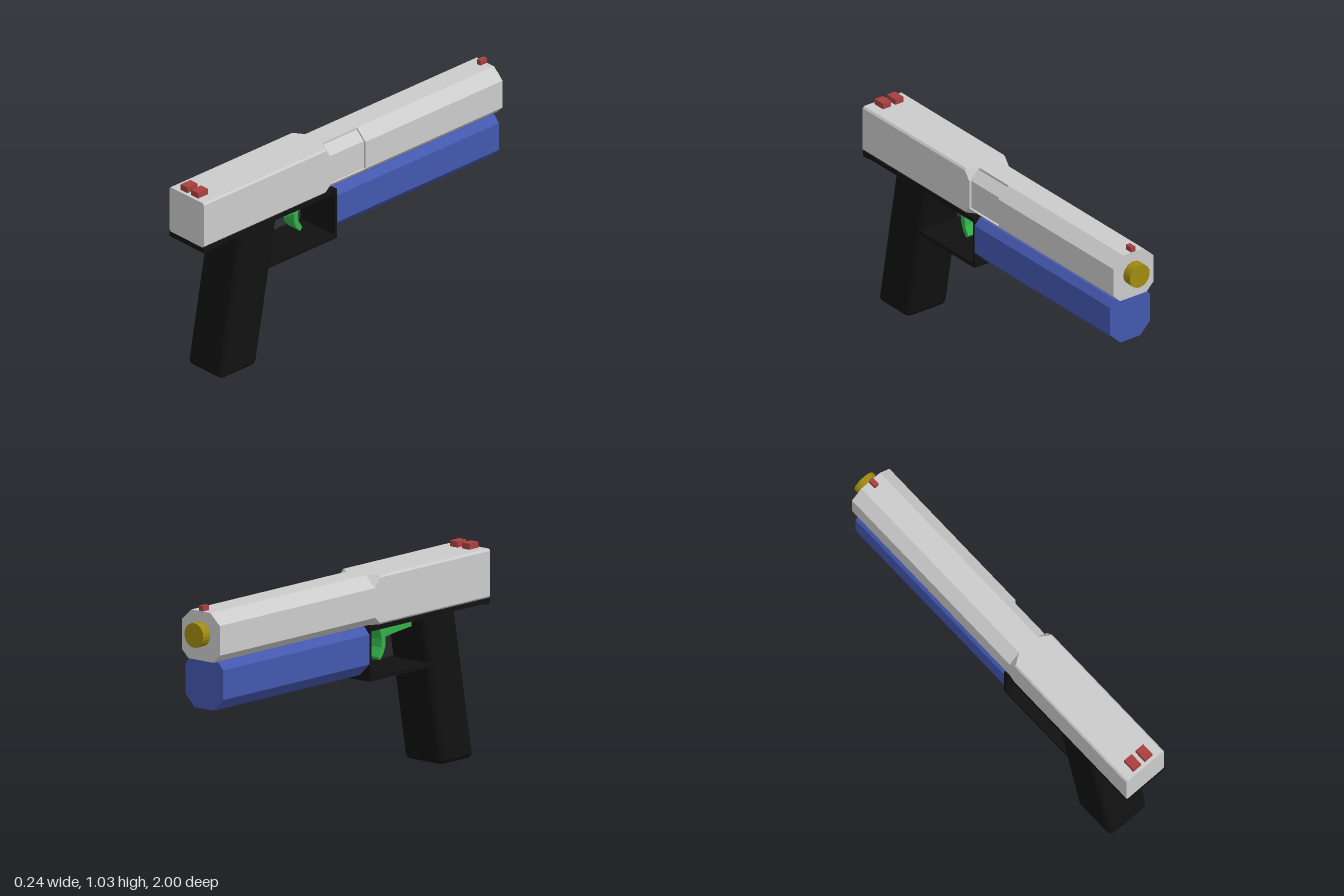
import * as THREE from 'three';
import { RoundedBoxGeometry } from 'three/addons/geometries/RoundedBoxGeometry.js';

const mat = (color, flatShading = true) => new THREE.MeshStandardMaterial({ color, flatShading });
const GREY = mat(0xcccccc), BLACK = mat(0x111111), BLACK_SMOOTH = mat(0x111111, false);
const BLUE = mat(0x4458b0), GREEN = mat(0x33b04a), RED = mat(0xa84040), BRASS = mat(0xa08a10);

// Skins cross-sections given as [z, [[x, y], ...]], counter-clockwise, z ascending
function loft(sections) {
  const n = sections[0][1].length, pos = [], idx = [];
  for (const [z, pts] of sections) for (const [x, y] of pts) pos.push(x, y, z);
  for (let s = 0; s < sections.length - 1; s++) {
    for (let i = 0; i < n; i++) {
      const a = s * n + i, b = s * n + (i + 1) % n;
      idx.push(a, b, b + n, a, b + n, a + n);
    }
  }
  const last = (sections.length - 1) * n;
  for (let i = 1; i < n - 1; i++) {
    idx.push(0, i + 1, i);
    idx.push(last, last + i, last + i + 1);
  }
  const g = new THREE.BufferGeometry();
  g.setAttribute('position', new THREE.Float32BufferAttribute(pos, 3));
  g.setIndex(idx);
  const flat = g.toNonIndexed();
  flat.computeVertexNormals();
  return flat;
}

// Extrudes a side profile of [z, y] points across the width
function sideExtrude(points, width, hole) {
  const toVec = (list) => list.map(([z, y]) => new THREE.Vector2(z, y));
  const shape = new THREE.Shape(toVec(points));
  if (hole) shape.holes.push(new THREE.Path(toVec(hole)));
  const g = new THREE.ExtrudeGeometry(shape, { depth: width, bevelEnabled: false });
  return g.translate(0, 0, -width / 2).rotateY(-Math.PI / 2);
}

export function createModel() {
  const model = new THREE.Group();
  const add = (name, geometry, material, x = 0, y = 0, z = 0) => {
    const m = new THREE.Mesh(geometry, material);
    m.name = name;
    m.position.set(x, y, z);
    model.add(m);
    return m;
  };

  // Slide: square rear, faceted front, shallow port recess on the +x side
  const front = [[-0.08, 0.76], [0.08, 0.76], [0.12, 0.8], [0.12, 0.8], [0.12, 0.945],
    [0.06, 1], [0.06, 1], [-0.06, 1], [-0.12, 0.945], [-0.12, 0.8]];
  const port = front.map((p) => [...p]);
  port[3][0] = port[4][0] = 0.108;
  port[5][1] = 0.988;
  const rear = [[-0.11, 0.76], [0.11, 0.76], [0.12, 0.77], [0.12, 0.77], [0.12, 0.99],
    [0.112, 1], [0.112, 1], [-0.112, 1], [-0.12, 0.99], [-0.12, 0.77]];
  add('slide', loft([[-0.95, front], [-0.055, front], [-0.055, port], [0.17, port],
    [0.17, front], [0.205, rear], [1, rear]]), GREY);

  // Barrel tip
  add('barrel', new THREE.CylinderGeometry(0.06, 0.06, 0.07, 20).rotateX(Math.PI / 2), BRASS, 0, 0.89, -0.965);

  // Under-barrel housing
  const housing = [[-0.06, 0.52], [0.06, 0.52], [0.12, 0.58], [0.12, 0.725],
    [0.09, 0.759], [-0.09, 0.759], [-0.12, 0.725], [-0.12, 0.58]];
  add('lowerHousing', loft([[-0.925, housing], [0.129, housing]]), BLUE);

  // Frame plate and guard in one profile
  add('frame', sideExtrude(
    [[1, 0.76], [0.13, 0.76], [0.13, 0.495], [0.62, 0.495], [0.62, 0.738], [0.95, 0.738], [0.96, 0.733], [1, 0.733]],
    0.238,
    [[0.145, 0.515], [0.145, 0.738], [0.6, 0.738], [0.6, 0.515]]), BLACK);

  // Grip: rounded block sheared backwards toward the bottom
  const grip = new RoundedBoxGeometry(0.24, 0.755, 0.238, 4, 0.03);
  grip.applyMatrix4(new THREE.Matrix4().set(
    1, 0, 0, 0,
    0, 1, 0, 0.3775,
    0, -0.182, 1, 0.702,
    0, 0, 0, 1));
  add('grip', grip, BLACK_SMOOTH);

  // Trigger
  add('trigger', sideExtrude([[0.56, 0.74], [0.27, 0.74], [0.3, 0.7], [0.311, 0.66], [0.307, 0.62],
    [0.282, 0.578], [0.297, 0.562], [0.322, 0.59], [0.338, 0.63], [0.338, 0.67], [0.42, 0.68], [0.56, 0.693]],
    0.08), GREEN);

  // Sights
  for (const s of [-1, 1]) {
    add(s > 0 ? 'rearSightLeft' : 'rearSightRight', new THREE.BoxGeometry(0.048, 0.035, 0.065), RED, s * 0.037, 1.0115, 0.95);
  }
  add('frontSight', new THREE.BoxGeometry(0.025, 0.035, 0.042), RED, 0, 1.008, -0.928);

  return model;
}
